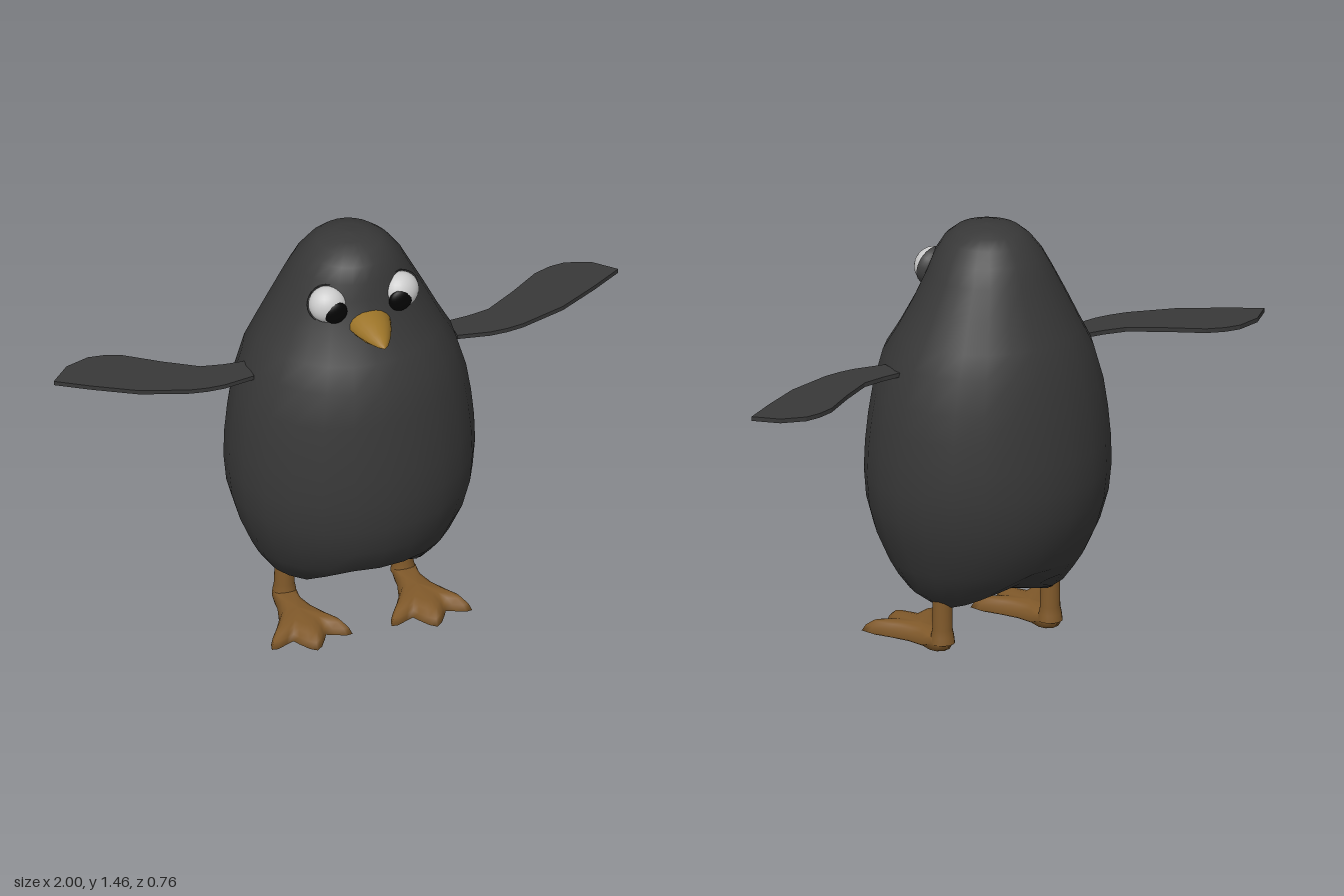
import * as THREE from 'three';

const mat = (color, roughness = 1) => new THREE.MeshStandardMaterial({ color, roughness });
const black = mat(0x383838), lidGrey = mat(0x404040), white = mat(0xe4e4e4);
const pupilBlack = mat(0x040404), beakGold = mat(0x9c7428), footBrown = mat(0x80592a);

function part(name, geometry, material, parent) {
  const mesh = new THREE.Mesh(geometry, material);
  mesh.name = name;
  parent.add(mesh);
  return mesh;
}

// Skin a list of closed rings of [x, y, z] points with smooth normals
function loft(rings) {
  const n = rings[0].length, index = [];
  for (let i = 0; i < rings.length - 1; i++) {
    for (let j = 0; j < n; j++) {
      const a = i * n + j, b = i * n + (j + 1) % n;
      index.push(a, b, b + n, a, b + n, a + n);
    }
  }
  const g = new THREE.BufferGeometry();
  g.setAttribute('position', new THREE.Float32BufferAttribute(rings.flat(2), 3));
  g.setIndex(index);
  g.computeVertexNormals();
  return g;
}

const around = (n, fn) => Array.from({ length: n }, (_, j) => fn((j / n) * Math.PI * 2));

// Body sections: height, half width, front depth, back depth
function bodyGeometry() {
  const rows = [
    [0.15, 0.001, -0.05, 0.052], [0.15, 0.08, 0.02, 0.09], [0.15, 0.16, 0.08, 0.13],
    [0.155, 0.225, 0.13, 0.16], [0.2, 0.285, 0.2, 0.21], [0.25, 0.32, 0.25, 0.25],
    [0.3, 0.346, 0.298, 0.29], [0.4, 0.388, 0.352, 0.342], [0.5, 0.416, 0.374, 0.369],
    [0.6, 0.425, 0.38, 0.38], [0.7, 0.422, 0.374, 0.376], [0.8, 0.412, 0.363, 0.367],
    [0.9, 0.396, 0.348, 0.354], [1.02, 0.36, 0.325, 0.33], [1.1, 0.316, 0.276, 0.3],
    [1.2, 0.266, 0.222, 0.255], [1.3, 0.214, 0.188, 0.218], [1.36, 0.183, 0.174, 0.188],
    [1.41, 0.145, 0.147, 0.15], [1.44, 0.108, 0.11, 0.115], [1.455, 0.06, 0.06, 0.06],
    [1.46, 0.001, 0.001, 0.001],
  ];
  return loft(rows.map(([y, w, front, back]) => around(24, (a) => {
    const c = Math.cos(a), x = w * Math.sin(a);
    const mid = (front - back) / 2, z = mid + c * (front + back) / 2;
    // Underside lifts between the legs and towards the front and back
    const dz = z + 0.06;
    const floor = 0.15 + 0.04 * Math.max(0, 1 - Math.abs(x) / 0.2) + dz * dz * (dz > 0 ? 1.2 : 2.3);
    return [x, y < 0.3 ? Math.max(y, floor) : y, z];
  })));
}

// Beak half from sections: z, rim height, half width, rise, drop
const beakGeometry = (rows) => loft(rows.map(([z, y, w, up, down]) => around(20, (a) => {
  const s = Math.sin(a);
  return [w * Math.cos(a), y + s * (s > 0 ? up : down), z];
})));

// Flat, backward swept wing for the +x side
function wingGeometry() {
  const top = [[0.36, -0.03], [0.43, -0.035], [0.51, -0.05], [0.62, -0.12], [0.73, -0.2],
    [0.79, -0.222], [0.845, -0.228], [0.93, -0.2], [1, -0.13]];
  const low = [[0.89, -0.06], [0.75, 0.02], [0.59, 0.073], [0.53, 0.082], [0.47, 0.083], [0.36, 0.065]];
  const shape = new THREE.Shape([...top, ...low].map(([x, z]) => new THREE.Vector2(x, -z)));
  const g = new THREE.ExtrudeGeometry(shape, { depth: 0.015, bevelEnabled: false });
  return g.rotateX(-Math.PI / 2).translate(0, 0.989, 0);
}

// Three-toed foot: the same outline shrinks about its middle as it rises
function footGeometry() {
  const half = [[0.028, -0.083], [0.042, -0.055], [0.042, 0], [0.062, 0.07], [0.1, 0.14],
    [0.135, 0.195], [0.143, 0.225], [0.122, 0.228], [0.085, 0.212], [0.058, 0.2], [0.045, 0.225], [0.022, 0.262]];
  const outline = [[0, -0.093], ...half, [0, 0.28],
    ...half.slice().reverse().map(([x, z]) => [-x, z])];
  outline.reverse();
  // Run the outline from front to +x so the faces point outwards
  const edge = (z) => (z < 0 ? 0.028 : 0.006);
  const layers = [[0.001, () => 0], [0.88, () => 0], [1, edge],
    [0.93, (z) => (z < 0 ? 0.045 : 0.028)], [0.8, () => 0.046], [0.55, () => 0.053], [0.001, () => 0.055]];
  const cz = 0.08;
  return loft(layers.map(([s, h]) => outline.map(([x, z]) => [-x * -s, h(z), cz + (z - cz) * s])));
}

export function createModel() {
  const model = new THREE.Group();
  model.name = 'penguin';
  part('body', bodyGeometry(), black, model);

  // Beak
  part('upperBeak', beakGeometry([
    [0.15, 1.215, 0.075, 0.055, 0.01], [0.2, 1.213, 0.075, 0.053, 0.01],
    [0.25, 1.21, 0.06, 0.046, 0.01], [0.3, 1.208, 0.038, 0.031, 0.006],
    [0.335, 1.208, 0.018, 0.015, 0.004], [0.352, 1.209, 0.001, 0.001, 0.001]]), beakGold, model);
  part('lowerBeak', beakGeometry([
    [0.15, 1.206, 0.064, 0.005, 0.026], [0.22, 1.206, 0.062, 0.005, 0.028],
    [0.27, 1.204, 0.045, 0.004, 0.023], [0.305, 1.204, 0.024, 0.003, 0.013],
    [0.322, 1.205, 0.001, 0.001, 0.001]]), beakGold, model);

  const wing = wingGeometry(), foot = footGeometry();
  const leg = new THREE.LatheGeometry(
    [[0.042, 0.025], [0.039, 0.05], [0.034, 0.075], [0.033, 0.2]].map((p) => new THREE.Vector2(...p)), 16);
  const ball = new THREE.SphereGeometry(1, 24, 16);
  const lidShell = new THREE.SphereGeometry(1, 24, 10, 0, Math.PI * 2, 0, Math.PI / 2).rotateX(-Math.PI / 2);
  const lidMaterial = lidGrey.clone();
  lidMaterial.side = THREE.DoubleSide;

  for (const [side, s] of [['left', 1], ['right', -1]]) {
    // Eye: white ball, dark lid wrapped behind it, pupil on the front
    const eye = new THREE.Group();
    eye.name = side + 'Eye';
    eye.position.set(s * 0.13, 1.29, 0.145);
    eye.rotation.set(-0.2, s * 0.2, 0);
    model.add(eye);
    part(side + 'Eyeball', ball, white, eye).scale.set(0.064, 0.063, 0.054);
    part(side + 'Eyelid', lidShell, lidMaterial, eye).scale.set(0.069, 0.069, 0.058);
    const pupil = part(side + 'Pupil', ball, pupilBlack, model);
    pupil.position.set(s * 0.115, 1.277, 0.186);
    pupil.scale.set(0.041, 0.041, 0.019);

    // Wing, mirrored by a half turn of the flat outline
    const wingMesh = part(side + 'Wing', wing, black, model);
    wingMesh.scale.x = s;

    // Leg and foot
    part(side + 'Leg', leg, footBrown, model).position.set(s * 0.21, 0, -0.055);
    part(side + 'Foot', foot, footBrown, model).position.set(s * 0.212, 0, 0);
  }
  return model;
}
